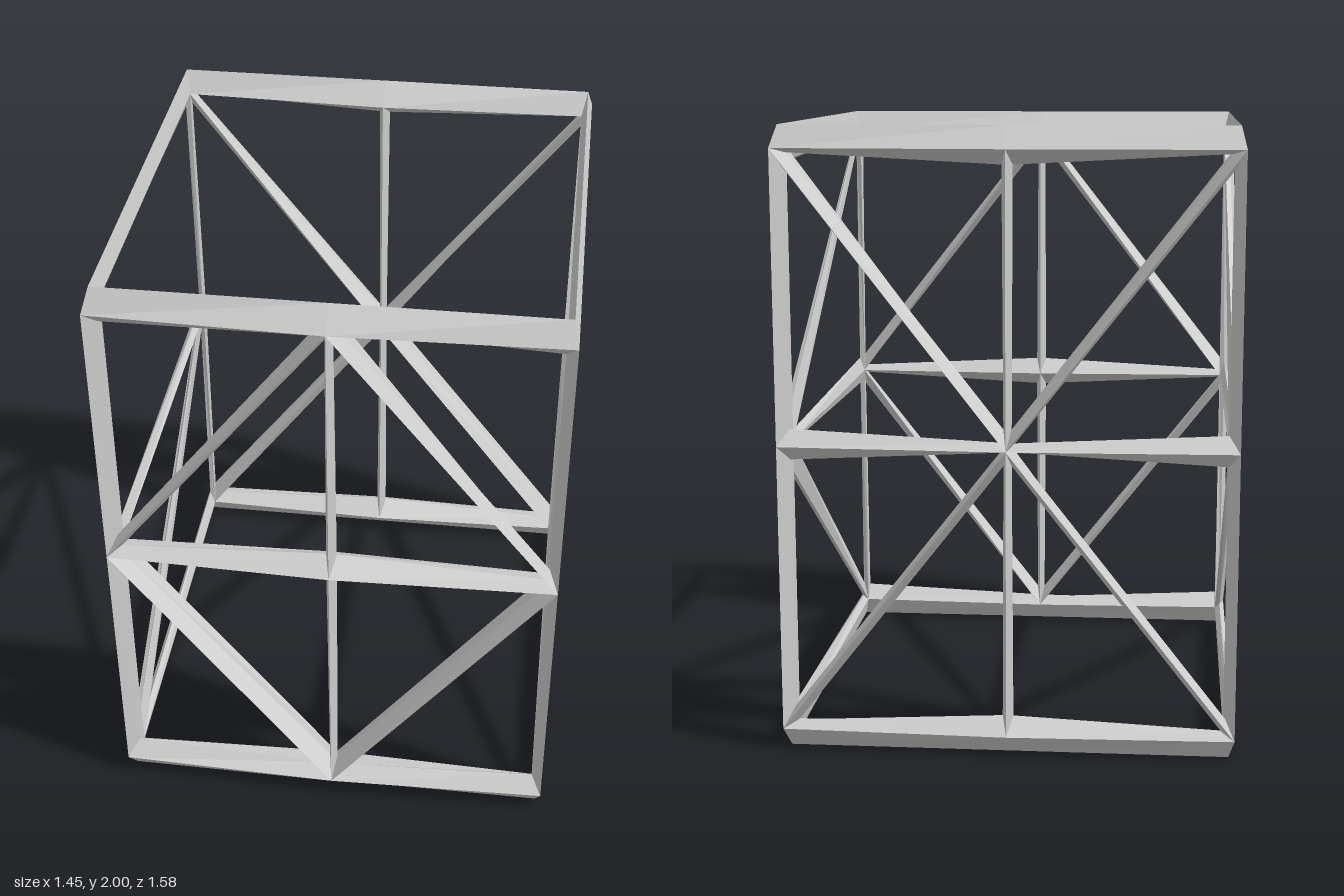
import * as THREE from 'three';

// Open truss frame: every bar has a diamond section whose four corners are
// an outer point, an inner point and one point inset into each adjoining panel.
const T = 0.07;                                  // bar half thickness
const SQUASH = 0.35;                             // bars are slim in x
const HALF = new THREE.Vector3(0.7075 / SQUASH, 0.93, 0.722);

// A joint at grid position x, z = -1..1 and level y = -1..1
const joint = (x, y, z) => new THREE.Vector3(x, y, z);
const place = (j) => j.clone().multiply(HALF);
const keyOf = (j) => `${j.x},${j.y},${j.z}`;
const outward = (j) => new THREE.Vector3(j.x, 0, j.z).normalize();
const skin = (j, side) => place(j).addScaledVector(outward(j), side * T);
const rim = (j) => place(j).add(new THREE.Vector3(0, j.y * T, 0));

// Point inset into a triangle along the bisector of its corner
function inset(j, prev, next) {
  const p = place(j);
  const a = place(prev).sub(p).normalize();
  const b = place(next).sub(p).normalize();
  return p.addScaledVector(a.add(b).normalize(), T);
}

// Triangular panels, mirrored over both halves and both storeys
function makePanels() {
  const panels = [];
  const add = (normal, ...tri) => {
    const [a, b, c] = tri.map(place);
    const n = b.sub(a).cross(c.sub(a));
    panels.push(n.dot(normal) > 0 ? tri : tri.reverse());
  };
  for (const x of [-1, 1]) {
    for (const y of [-1, 1]) {
      for (const z of [-1, 1]) {
        const mid = joint(0, y, z), corner = joint(x, y, z);
        const side = joint(x, 0, z), centre = joint(0, 0, z);
        const n = new THREE.Vector3(0, 0, z);
        if (z > 0) {                             // front: diamond bracing
          add(n, mid, corner, side);
          add(n, mid, side, centre);
        } else {                                 // back: cross bracing
          add(n, corner, side, centre);
          add(n, corner, centre, mid);
        }
      }
      // sides: braces meet at the middle of the back post
      const n = new THREE.Vector3(x, 0, 0);
      const front = joint(x, y, 1), back = joint(x, 0, -1);
      add(n, front, joint(x, y, -1), back);
      add(n, front, back, joint(x, 0, 1));
    }
  }
  return panels;
}

function barName(a, b) {
  if (a.y === b.y) return a.y > 0 ? 'topRail' : a.y < 0 ? 'bottomRail' : 'middleRail';
  return a.x === b.x && a.z === b.z ? 'post' : 'brace';
}

export function createModel() {
  const group = new THREE.Group();
  group.name = 'trussFrame';
  const material = new THREE.MeshStandardMaterial({ color: 0xcccccc, flatShading: true });
  const bars = new Map();

  // Half of a bar: one outer and one inner strip running to the points sa, sb
  const addHalf = (a, b, sa, sb) => {
    const key = [keyOf(a), keyOf(b)].sort().join('|');
    if (!bars.has(key)) bars.set(key, { a, b, halves: 0, points: [] });
    const bar = bars.get(key);
    const quad = (p, q, r, s) => bar.points.push(p, q, r, p, r, s);
    quad(skin(a, 1), skin(b, 1), sb, sa);
    quad(skin(b, -1), skin(a, -1), sa, sb);
    bar.halves++;
  };

  for (const tri of makePanels()) {
    const insets = tri.map((j, i) => inset(j, tri[(i + 2) % 3], tri[(i + 1) % 3]));
    for (let i = 0; i < 3; i++) {
      const k = (i + 1) % 3;
      addHalf(tri[i], tri[k], insets[i], insets[k]);
    }
  }

  for (const bar of bars.values()) {
    // Rails on the open top and bottom end in a raised ridge
    if (bar.halves === 1) addHalf(bar.b, bar.a, rim(bar.b), rim(bar.a));
    const geometry = new THREE.BufferGeometry().setFromPoints(bar.points);
    geometry.scale(SQUASH, 1, 1);
    geometry.translate(0, 1, 0);
    geometry.computeVertexNormals();
    const mesh = new THREE.Mesh(geometry, material);
    mesh.name = barName(bar.a, bar.b);
    group.add(mesh);
  }
  return group;
}
